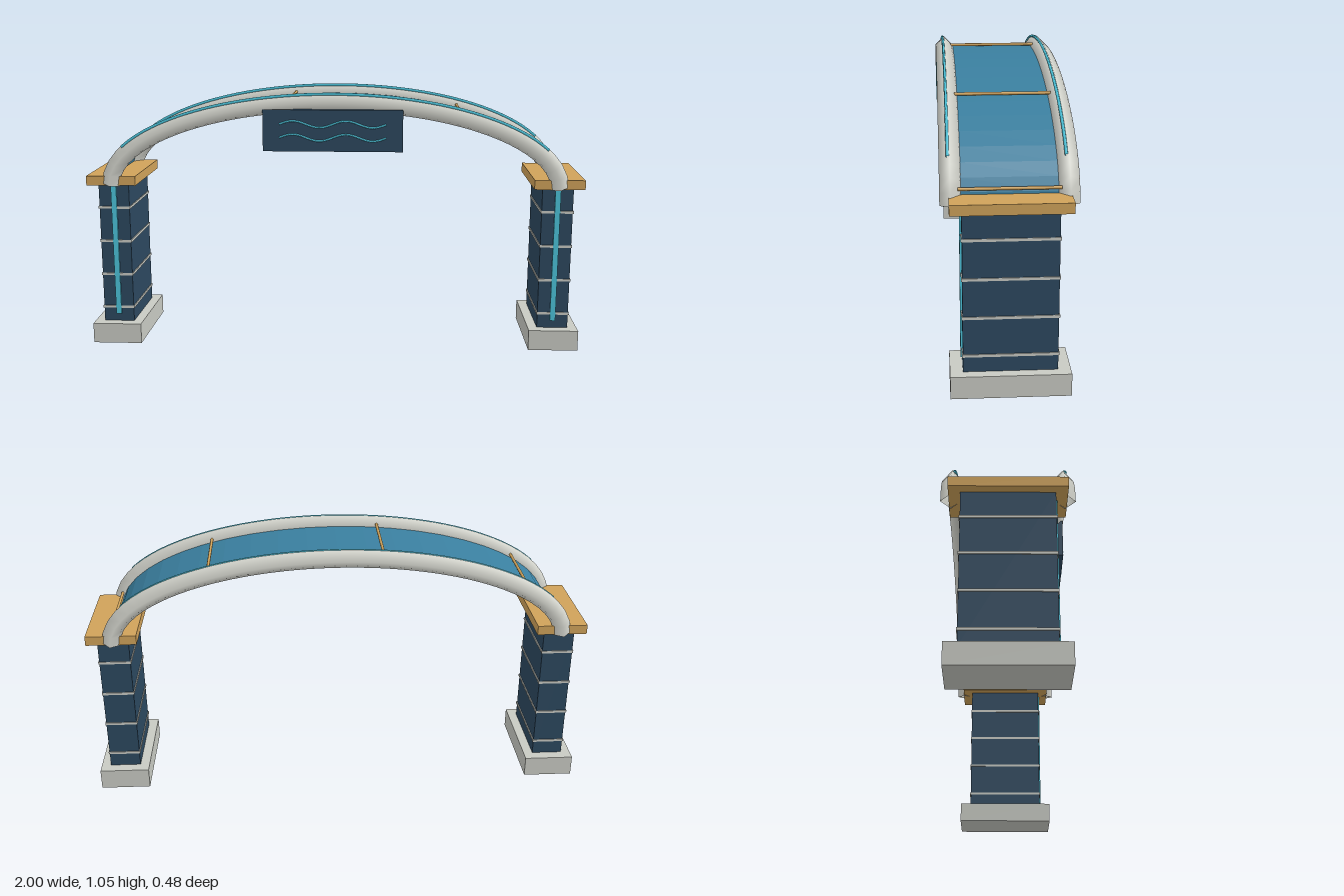
import * as THREE from 'three';

const mat = (color, side = THREE.FrontSide) => new THREE.MeshStandardMaterial({ color, side });
const NAVY = mat(0x2c485f), STONE = mat(0xc8cac3), GOLD = mat(0xcfa25a);
const GLOW = mat(0x4cc3da, THREE.DoubleSide);
const RAIL = mat(0xd8d9d1, THREE.DoubleSide);
const CANOPY = mat(0x3a7f9f, THREE.DoubleSide);
CANOPY.flatShading = true;

// Half-ellipse of the arch, pushed outward by "off"
const A = 0.9, B = 0.34, Y0 = 0.67;
function archPoint(t, z = 0, off = 0) {
  const n = new THREE.Vector2(Math.cos(t) / A, Math.sin(t) / B).normalize();
  return new THREE.Vector3(A * Math.cos(t) + n.x * off, Y0 + B * Math.sin(t) + n.y * off, z);
}
function archCurve(t0, t1, z, off, n = 24) {
  const pts = [];
  for (let i = 0; i <= n; i++) pts.push(archPoint(t0 + (t1 - t0) * i / n, z, off));
  return new THREE.CatmullRomCurve3(pts);
}

export function createModel() {
  const root = new THREE.Group();
  const add = (parent, name, geo, material, x = 0, y = 0, z = 0) => {
    const m = new THREE.Mesh(geo, material);
    m.name = name;
    m.position.set(x, y, z);
    parent.add(m);
    return m;
  };
  const box = (parent, name, material, w, h, d, x, y, z) =>
    add(parent, name, new THREE.BoxGeometry(w, h, d), material, x, y, z);

  // Pillars with base, cap, trim bands and a front light strip
  for (const s of [-1, 1]) {
    const pillar = new THREE.Group();
    pillar.name = s > 0 ? 'leftPillar' : 'rightPillar';
    pillar.position.x = s * 0.9;
    root.add(pillar);
    box(pillar, 'base', STONE, 0.2, 0.083, 0.42, 0, 0.0415, 0);
    box(pillar, 'shaft', NAVY, 0.124, 0.59, 0.33, 0, 0.376, 0);
    box(pillar, 'cap', GOLD, 0.2, 0.038, 0.414, 0, 0.687, 0);
    for (let i = 0; i < 4; i++)
      box(pillar, 'trimBand', STONE, 0.131, 0.01, 0.337, 0, 0.144 + i * 0.1415, 0);
    box(pillar, 'lightStrip', GLOW, 0.022, 0.556, 0.008, 0, 0.392, 0.168);
  }

  // Arched rails, each with a light line along its crest
  for (const s of [-1, 1]) {
    add(root, 'archRail', new THREE.TubeGeometry(archCurve(0, Math.PI, s * 0.201, 0), 48, 0.036, 4), RAIL);
    add(root, 'railLight',
      new THREE.TubeGeometry(archCurve(0.4, Math.PI - 0.4, s * 0.2 + 0.007, 0.032), 48, 0.006, 6), GLOW);
  }

  // Curved canopy panel between the rails
  const N = 24, W = 0.168, pos = [], idx = [];
  for (let i = 0; i <= N; i++) {
    for (const z of [W, -W]) pos.push(...archPoint(Math.PI * i / N, z).toArray());
    if (i < N) {
      const a = i * 2;
      idx.push(a, a + 1, a + 2, a + 1, a + 3, a + 2);
    }
  }
  const panel = new THREE.BufferGeometry();
  panel.setAttribute('position', new THREE.Float32BufferAttribute(pos, 3));
  panel.setIndex(idx);
  panel.computeVertexNormals();
  add(root, 'canopyPanel', panel, CANOPY);

  // Cross rods over the canopy
  for (const k of [0.05, 0.31, 0.563, 0.813]) {
    const p = archPoint(Math.PI * k, 0, 0.009);
    add(root, 'crossRod', new THREE.CylinderGeometry(0.006, 0.006, 0.35, 8), GOLD, p.x, p.y, 0)
      .rotation.x = Math.PI / 2;
  }

  // Hanging sign board with two wavy light lines
  box(root, 'signBoard', NAVY, 0.553, 0.165, 0.024, 0, 0.9, 0.22);
  for (const y of [0.926, 0.873]) {
    const pts = [];
    for (let i = 0; i <= 32; i++) {
      const u = i / 32;
      pts.push(new THREE.Vector3(-0.21 + 0.42 * u, y + 0.013 * Math.sin(u * Math.PI * 4), 0.234));
    }
    add(root, 'waveLight', new THREE.TubeGeometry(new THREE.CatmullRomCurve3(pts), 64, 0.004, 6), GLOW);
  }
  return root;
}
